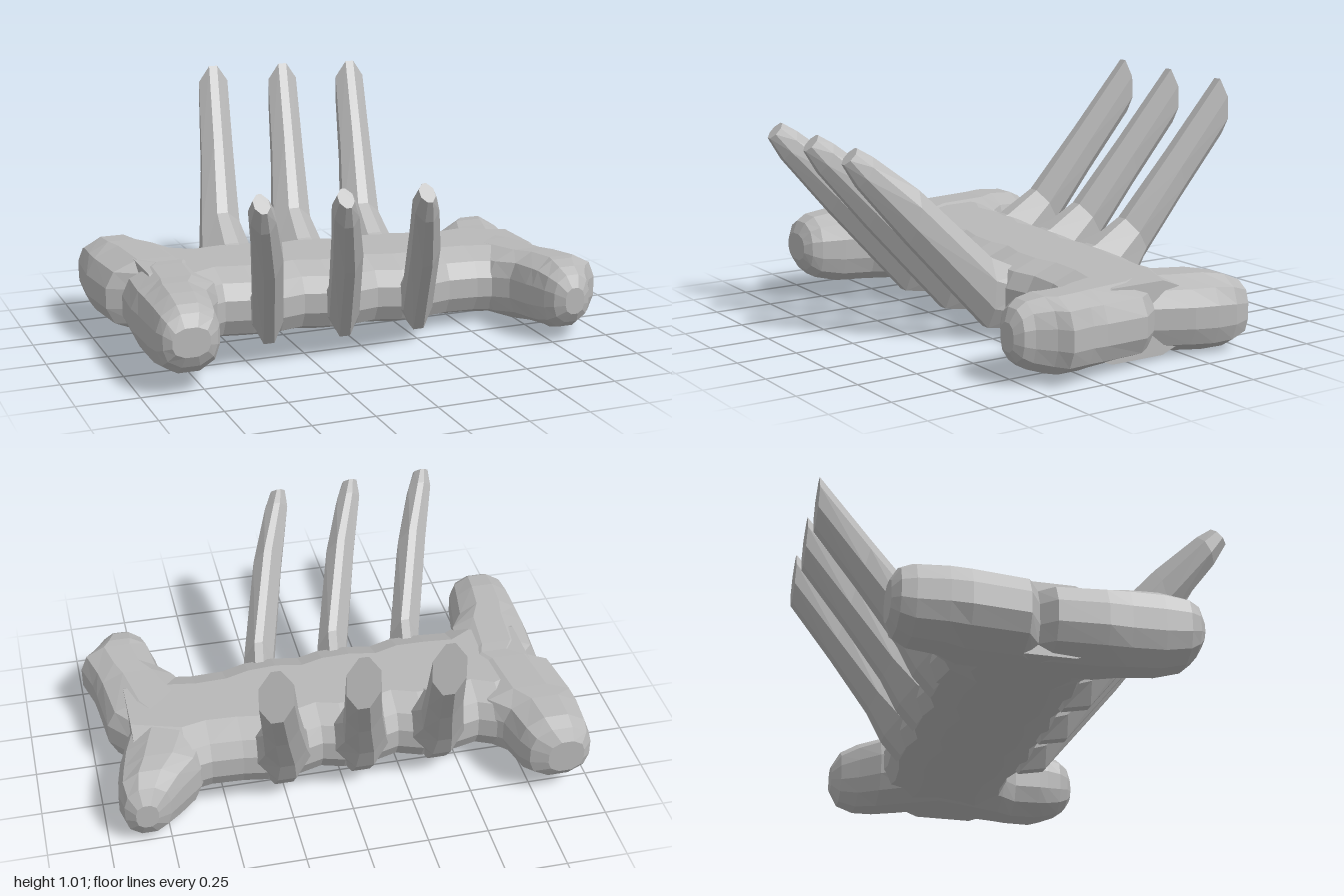
import * as THREE from 'three';

const bone = new THREE.MeshStandardMaterial({ color: 0xb8b8b8, flatShading: true });
bone.name = 'bone grey';

// Skin a list of equal-length rings, close both ends, and keep faces outward
function loft(name, rings) {
  const n = rings[0].length, pos = [], idx = [];
  rings.forEach(r => r.forEach(p => pos.push(...p)));
  for (let i = 0; i < rings.length - 1; i++) {
    for (let j = 0; j < n; j++) {
      const a = i * n + j, b = i * n + (j + 1) % n;
      idx.push(a, b, b + n, a, b + n, a + n);
    }
  }
  const last = (rings.length - 1) * n;
  for (let j = 1; j < n - 1; j++) {
    idx.push(0, j + 1, j, last, last + j, last + j + 1);
  }
  const v = i => new THREE.Vector3().fromArray(pos, i * 3);
  let volume = 0;
  for (let i = 0; i < idx.length; i += 3) {
    volume += v(idx[i]).dot(v(idx[i + 1]).cross(v(idx[i + 2])));
  }
  if (volume < 0) idx.reverse();
  const g = new THREE.BufferGeometry();
  g.setAttribute('position', new THREE.Float32BufferAttribute(pos, 3));
  g.setIndex(idx);
  g.computeVertexNormals();
  const mesh = new THREE.Mesh(g, bone);
  mesh.name = name;
  return mesh;
}

// Rounded twelve-sided section between lo..hi across and yb..yt in height
function section(lo, hi, yb, yt) {
  const c = Math.min(0.14, (hi - lo) * 0.33), m = (yb + yt) / 2, h = (yt - yb) / 2;
  const right = [[hi - c, -1], [hi - c * 0.25, -0.72], [hi, -0.28], [hi, 0.28], [hi - c * 0.25, 0.72], [hi - c, 1]];
  const left = right.map(([a, k]) => [lo + hi - a, k]).reverse();
  return [...right, ...left].map(([a, k]) => [a, m + k * h]);
}

const tilt = x => -0.029 * x; // the whole body slopes gently down towards +x

// Spine: stations along x of [x, back z, front z]
function spine() {
  const stations = [
    [-0.85, -0.32, 0.24], [-0.66, -0.39, 0.27], [-0.57, -0.345, 0.22], [-0.45, -0.37, 0.235], [-0.33, -0.37, 0.24],
    [-0.23, -0.33, 0.21], [-0.12, -0.36, 0.235], [0, -0.36, 0.235], [0.09, -0.33, 0.21], [0.2, -0.36, 0.235],
    [0.32, -0.36, 0.23], [0.42, -0.34, 0.2], [0.55, -0.33, 0.2], [0.65, -0.35, 0.22], [0.85, -0.28, 0.24],
  ];
  return loft('spine', stations.map(([x, zb, zf]) =>
    section(zb, zf, 0.04 + tilt(x), 0.335 + tilt(x)).map(([z, y]) => [x, y, z])));
}

// Knobbed ends: stations along z of [z, low x, high x, bottom y, top y]
function knobs(name, stations) {
  return loft(name, stations.map(([z, lo, hi, yb, yt]) =>
    section(lo, hi, yb, yt).map(([x, y]) => [x, y, z])));
}

// Rib: stations of [x, half width, upper z, upper y, lower z, lower y]
function rib(name, stations) {
  const ring = [[-0.28, 0], [0.28, 0], [1, 0.3], [1, 0.7], [0.35, 1], [-0.35, 1], [-1, 0.7], [-1, 0.3]];
  return loft(name, stations.map(([x, w, uz, uy, lz, ly]) =>
    ring.map(([a, t]) => [x + a * w, uy + (ly - uy) * t, uz + (lz - uz) * t])));
}

export function createModel() {
  const model = new THREE.Group();
  model.name = 'ribbedBone';
  model.add(spine());

  model.add(knobs('rightEndKnobs', [
    [-0.605, -0.94, -0.79, 0.13, 0.28], [-0.575, -0.975, -0.72, 0.09, 0.33], [-0.52, -0.985, -0.69, 0.065, 0.355],
    [-0.4, -0.995, -0.66, 0.06, 0.365], [-0.32, -1, -0.58, 0.055, 0.365], [-0.1, -0.975, -0.56, 0.06, 0.362],
    [-0.045, -0.88, -0.56, 0.065, 0.36], [0.01, -0.935, -0.56, 0.06, 0.362], [0.2, -0.95, -0.58, 0.055, 0.367],
    [0.29, -0.945, -0.645, 0.055, 0.37], [0.42, -0.945, -0.67, 0.06, 0.37], [0.52, -0.94, -0.69, 0.085, 0.355],
    [0.56, -0.925, -0.71, 0.12, 0.33], [0.585, -0.895, -0.745, 0.165, 0.28],
  ]));

  model.add(knobs('leftEndKnobs', [
    [-0.535, 0.8, 0.89, 0.1, 0.21], [-0.5, 0.745, 0.93, 0.04, 0.27], [-0.43, 0.68, 0.945, 0.01, 0.3],
    [-0.35, 0.6, 0.935, 0, 0.31], [-0.25, 0.55, 0.915, 0.005, 0.31], [-0.09, 0.5, 0.86, 0.015, 0.312],
    [0, 0.5, 0.935, 0.015, 0.315], [0.2, 0.6, 0.955, 0.02, 0.32], [0.27, 0.665, 0.965, 0.025, 0.325],
    [0.385, 0.68, 1, 0.035, 0.33], [0.425, 0.69, 0.955, 0.04, 0.33], [0.49, 0.71, 0.91, 0.06, 0.315],
    [0.53, 0.735, 0.895, 0.09, 0.29], [0.555, 0.775, 0.86, 0.13, 0.24],
  ]));

  // Three pairs of ribs, each set a little lower towards +x
  for (let i = 0; i < 3; i++) {
    const s = i * 0.326, d = -0.009 * i;
    model.add(rib('backRib' + (i + 1), [
      [-0.395 + s, 0.11, -0.12, 0.32 + d, -0.34, 0.07 + d],
      [-0.395 + s, 0.11, -0.23, 0.35 + d, -0.41, 0.15 + d],
      [-0.385 + s, 0.085, -0.38, 0.445 + d, -0.475, 0.275 + d],
      [-0.335 + s, 0.072, -0.58, 0.715 + d, -0.63, 0.52 + d],
      [-0.285 + s, 0.066, -0.795, 1.01 + d, -0.805, 0.78 + d],
    ]));
    model.add(rib('frontRib' + (i + 1), [
      [-0.385 + s, 0.065, 0.1, 0.28 + d, 0.18, 0.06 + d],
      [-0.41 + s, 0.065, 0.26, 0.355 + d, 0.28, 0.07 + d],
      [-0.51 + s, 0.062, 0.53, 0.64 + d, 0.58, 0.43 + d],
      [-0.585 + s, 0.05, 0.69, 0.775 + d, 0.755, 0.66 + d],
      [-0.605 + s, 0.03, 0.745, 0.81 + d, 0.805, 0.75 + d],
    ]));
  }
  return model;
}
